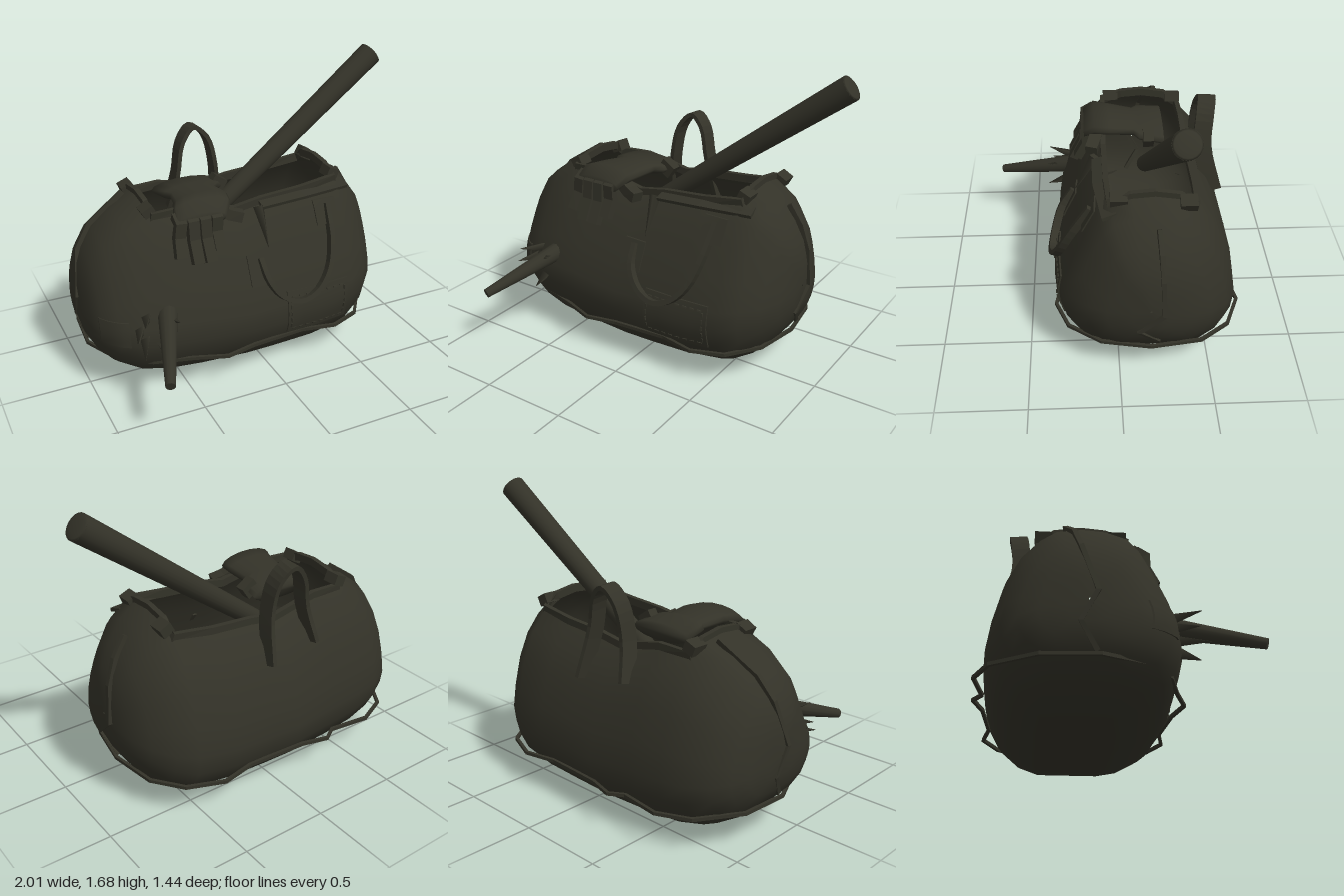
import * as THREE from 'three';

const V = (a) => new THREE.Vector3(...a);
const ZC = -0.16;

// Cross-section [z, height 0..1]: front rim, down, under, up to back rim, then over the top
const RING = [[0.06, 0.95], [0.13, 0.87], [0.2, 0.74], [0.28, 0.57], [0.335, 0.41], [0.345, 0.3], [0.31, 0.19],
  [0.24, 0.09], [0.1, 0.02], [-0.02, 0], [-0.2, 0], [-0.38, 0], [-0.5, 0.04], [-0.6, 0.12], [-0.655, 0.22], [-0.67, 0.33],
  [-0.645, 0.48], [-0.595, 0.66], [-0.52, 0.81], [-0.42, 0.92], [-0.33, 0.98], [-0.19, 1], [-0.06, 0.99]];
const BACK_RIM = 19;
// Stations along the bag: x, bottom, top, depth scale
const STATIONS = [[-1, 0.45, 0.46, 0.01], [-0.998, 0.35, 0.58, 0.2], [-0.98, 0.27, 0.68, 0.46], [-0.94, 0.2, 0.77, 0.64],
  [-0.87, 0.13, 0.87, 0.79], [-0.75, 0.06, 0.96, 0.9], [-0.6, 0.02, 1.03, 0.95], [-0.4, 0.005, 1.04, 0.98],
  [-0.12, 0, 0.98, 1], [0.05, 0, 1.01, 1], [0.3, 0.01, 1.03, 1], [0.53, 0.035, 1.06, 0.95], [0.64, 0.1, 0.99, 0.84],
  [0.73, 0.2, 0.87, 0.66], [0.785, 0.29, 0.76, 0.46], [0.812, 0.38, 0.64, 0.2], [0.815, 0.5, 0.51, 0.01]];
const OPEN_FROM = 6, OPEN_TO = 11;

const onBody = ([x, b, t, s], [z, h]) => [x, b + (t - b) * h, ZC + (z - ZC) * s];

// Depth of the front face of the bag at x, y
function frontZ(x, y) {
  let i = 0;
  while (i < STATIONS.length - 2 && STATIONS[i + 1][0] < x) i++;
  const A = STATIONS[i], B = STATIONS[i + 1], k = (x - A[0]) / (B[0] - A[0]);
  const [b, t, s] = [1, 2, 3].map((n) => A[n] + (B[n] - A[n]) * k);
  const h = (y - b) / (t - b);
  let j = 0;
  while (j < 7 && RING[j + 1][1] > h) j++;
  const P = RING[j], Q = RING[j + 1];
  const z = P[0] + (Q[0] - P[0]) * THREE.MathUtils.clamp((P[1] - h) / (P[1] - Q[1]), 0, 1);
  return ZC + (z - ZC) * s;
}

// Surface through equal loops of points; keep(i, j) tells which quads exist
function loft(loops, keep = () => true, caps = false) {
  const n = loops[0].length, idx = [];
  for (let i = 0; i < loops.length - 1; i++) for (let j = 0; j < n; j++) {
    if (!keep(i, j)) continue;
    const a = i * n + j, b = i * n + (j + 1) % n;
    idx.push(a, b, a + n, b, b + n, a + n);
  }
  if (caps) for (let j = 1; j < n - 1; j++) {
    const e = (loops.length - 1) * n;
    idx.push(0, j + 1, j, e, e + j, e + j + 1);
  }
  const g = new THREE.BufferGeometry();
  g.setAttribute('position', new THREE.Float32BufferAttribute(loops.flat(2), 3));
  g.setIndex(idx);
  g.computeVertexNormals();
  return g;
}

// Flat strap along a path; wide is its width direction
function strap(points, wide, w, t, closed = false, smooth = 0) {
  let pts = points.map(V);
  if (smooth) pts = new THREE.CatmullRomCurve3(pts).getPoints(smooth);
  const n = pts.length, W = V(wide).normalize(), loops = [];
  for (let i = 0; i < n; i++) {
    const prev = pts[closed ? (i + n - 1) % n : Math.max(i - 1, 0)];
    const next = pts[closed ? (i + 1) % n : Math.min(i + 1, n - 1)];
    const T = next.clone().sub(prev).normalize();
    const N = T.clone().cross(W).normalize(), S = N.clone().cross(T);
    loops.push([[1, 1], [-1, 1], [-1, -1], [1, -1]].map(([u, v]) =>
      pts[i].clone().addScaledVector(S, u * w / 2).addScaledVector(N, v * t / 2).toArray()));
  }
  if (closed) loops.push(loops[0]);
  const g = loft(loops, undefined, !closed).toNonIndexed();
  g.computeVertexNormals();
  return g;
}

// Tapered rod between two points
function rod(a, b, ra, rb, sides = 16) {
  const A = V(a), d = V(b).sub(A), len = d.length();
  const g = new THREE.CylinderGeometry(rb, ra, len, sides);
  g.translate(0, len / 2, 0);
  g.applyQuaternion(new THREE.Quaternion().setFromUnitVectors(V([0, 1, 0]), d.normalize()));
  return g.translate(...a);
}

// Thin plate bent over the front of the bag
function patch(x, y, w, h, lift = 0.01) {
  const g = new THREE.BoxGeometry(w, h, 0.009, 4, 4, 1).translate(x, y, 0), p = g.attributes.position;
  for (let i = 0; i < p.count; i++) p.setZ(i, p.getZ(i) + frontZ(p.getX(i), p.getY(i)) + lift);
  g.computeVertexNormals();
  return g;
}

export function createModel() {
  const group = new THREE.Group();
  const canvas = new THREE.MeshStandardMaterial({ color: 0x333228, side: THREE.DoubleSide });
  canvas.name = 'dark olive canvas';
  const add = (name, geo) => {
    const m = new THREE.Mesh(geo, canvas);
    m.name = name;
    group.add(m);
    return m;
  };

  // Bag shell, open along the top
  add('bagBody', loft(STATIONS.map((s) => RING.map((r) => onBody(s, r))),
    (i, j) => !(i >= OPEN_FROM && i < OPEN_TO && j >= BACK_RIM)));

  // Trim around the mouth
  const mouth = STATIONS.slice(OPEN_FROM, OPEN_TO + 1), rim = mouth.map((s) => onBody(s, RING[0]));
  for (let j = RING.length - 1; j > BACK_RIM; j--) rim.push(onBody(mouth[mouth.length - 1], RING[j]));
  rim.push(...mouth.slice().reverse().map((s) => onBody(s, RING[BACK_RIM])));
  for (let j = BACK_RIM + 1; j < RING.length; j++) rim.push(onBody(mouth[0], RING[j]));
  add('mouthTrim', strap(rim, [0, 1, 0], 0.045, 0.03, true));

  // Turned-up cloth at the mouth corners and the loose front flap
  for (const [x, y, z, r] of [[-0.61, 1, 0.0, 0.5], [-0.6, 0.99, -0.38, 0.4], [0.53, 1.03, 0.0, -0.4], [0.56, 1.02, -0.36, -0.5]]) {
    const m = add('mouthCorner', new THREE.BoxGeometry(0.07, 0.06, 0.09));
    m.position.set(x, y, z);
    m.rotation.z = r;
  }
  add('frontFlap', strap([[0.03, 0.95, 0.09], [0.3, 0.965, 0.09], [0.6, 0.965, 0.05]], [0, -0.3, 1], 0.08, 0.02));
  add('tornEdge', rod([0.01, 0.95, 0.11], [0.02, 0.74, 0.225], 0.035, 0.002, 4));

  // Piping around the base, with loose kinks
  const base = [[-0.8, -0.61], [-0.62, -0.69], [-0.38, -0.66], [-0.3, -0.71], [-0.15, -0.67], [0.2, -0.65], [0.4, -0.69],
    [0.6, -0.61], [0.72, -0.45], [0.76, -0.17], [0.71, 0.1], [0.58, 0.28], [0.4, 0.35], [0.2, 0.31], [-0.12, 0.335],
    [-0.3, 0.375], [-0.48, 0.31], [-0.7, 0.25], [-0.86, 0.14], [-0.97, -0.1], [-0.95, -0.38]];
  add('basePiping', strap(base.map(([x, z]) => [x, 0.2, z]), [0, 1, 0], 0.018, 0.018, true));

  // Seams over both ends
  add('leftEndSeam', strap([[0.69, 0.95, -0.2], [0.76, 0.84, -0.21], [0.805, 0.7, -0.22], [0.82, 0.48, -0.23],
    [0.805, 0.36, -0.1], [0.76, 0.25, -0.21]], [0, 0.2, 1], 0.025, 0.03));
  add('rightEndSeam', strap([[-0.66, 1.015, -0.27], [-0.88, 0.87, -0.23], [-0.96, 0.75, -0.2], [-1, 0.5, -0.12],
    [-0.99, 0.35, -0.2], [-0.95, 0.22, -0.12]], [0, 0.2, 1], 0.025, 0.03));

  // Bat sticking out of the mouth
  const a = V([-0.3, 0.69, -0.2]), b = V([0.955, 1.625, -0.28]);
  add('bat', rod(a.toArray(), b.toArray(), 0.05, 0.072, 20));
  add('batCap', new THREE.SphereGeometry(0.071, 20, 6).scale(1, 0.15, 1).applyQuaternion(
    new THREE.Quaternion().setFromUnitVectors(V([0, 1, 0]), b.clone().sub(a).normalize())).translate(...b.toArray()));

  // Handle poking through the front, with torn cloth around the hole
  add('pokingHandle', rod([-0.58, 0.52, 0.18], [-0.77, 0.36, 0.71], 0.06, 0.027, 12));
  for (const [x, y, dx, dy, dz] of [[-0.72, 0.5, -0.06, 0.02, 0.15], [-0.62, 0.48, 0.03, 0.03, 0.13],
    [-0.74, 0.38, -0.06, -0.03, 0.16], [-0.67, 0.34, 0.01, -0.03, 0.12], [-0.76, 0.44, -0.06, -0.02, 0.12]]) {
    const z = frontZ(x, y) - 0.02;
    add('tornShard', rod([x, y, z], [x + dx, y + dy, z + dz], 0.035, 0.002, 3));
  }

  // Carry handles: one raised behind, one hanging in front
  add('backHandle', strap([[-0.29, 0.76, -0.55], [-0.25, 0.97, -0.5], [-0.21, 1.16, -0.51], [-0.13, 1.245, -0.525],
    [-0.05, 1.18, -0.51], [-0.005, 1, -0.5], [0.03, 0.72, -0.57]], [0, 0.05, 1], 0.1, 0.025, false, 24));
  const hang = [[-0.04, 0.69], [-0.02, 0.58], [0.05, 0.48], [0.16, 0.435], [0.27, 0.47], [0.36, 0.57], [0.41, 0.72], [0.43, 0.9]];
  add('frontHandle', strap(hang.map(([x, y], i) => [x, y, frontZ(x, y) + (i % 7 ? 0.035 : 0.015)]), [0, 0.35, 1], 0.045, 0.028, false, 24));

  // Patches, handle anchors and stitching
  add('handleAnchor', patch(-0.045, 0.63, 0.14, 0.16));
  add('handleAnchor', patch(0.42, 0.86, 0.14, 0.13));
  add('sidePatch', patch(-0.89, 0.41, 0.13, 0.14));
  add('pocketPatch', patch(0.29, 0.355, 0.4, 0.26));
  for (let i = 0; i < 8; i++) for (const y of [0.25, 0.455]) add('stitch', patch(0.13 + i * 0.045, y, 0.025, 0.008, 0.016));
  for (let i = 0; i < 5; i++) for (const x of [0.11, 0.465]) add('stitch', patch(x, 0.275 + i * 0.04, 0.008, 0.024, 0.016));

  // Work glove draped over the front rim: cuff, palm, thumb, fingers
  const gloveRings = [[-0.29, -0.28, 0.98, 0.2, 0.05], [-0.15, -0.28, 1.0, 0.18, 0.05], [-0.12, -0.29, 1.0, 0.14, 0.045],
    [0.02, -0.3, 1.015, 0.16, 0.05], [0.11, -0.33, 1.01, 0.17, 0.055], [0.17, -0.36, 0.96, 0.15, 0.045]];
  add('glovePalm', loft(gloveRings.map(([z, x, y, rx, ry]) => Array.from({ length: 14 }, (_, k) => {
    const t = k / 14 * Math.PI * 2;
    return [x + rx * Math.cos(t), y + ry * Math.sin(t), z];
  })), undefined, true));
  [[-0.48, -0.5, 0.78], [-0.41, -0.41, 0.74], [-0.34, -0.335, 0.735], [-0.27, -0.27, 0.78]].forEach(([x0, x1, y1]) => {
    const ym = (0.98 + y1) / 2;
    add('gloveFinger', strap([[x0, 0.99, 0.11], [x0, 0.96, 0.165], [(x0 + x1) / 2, ym, frontZ(x0, ym) + 0.03],
      [x1, y1, frontZ(x1, y1) + 0.03]], [1, 0, 0], 0.062, 0.05));
  });
  add('gloveThumb', strap([[-0.26, 0.99, 0.08], [-0.17, 0.94, 0.11], [-0.1, 0.92, 0.13]], [0, 0, 1], 0.07, 0.06));
  const tab = add('gloveTab', new THREE.BoxGeometry(0.09, 0.08, 0.06));
  tab.position.set(-0.11, 1.0, -0.2);
  tab.rotation.z = -0.6;

  return group;
}
